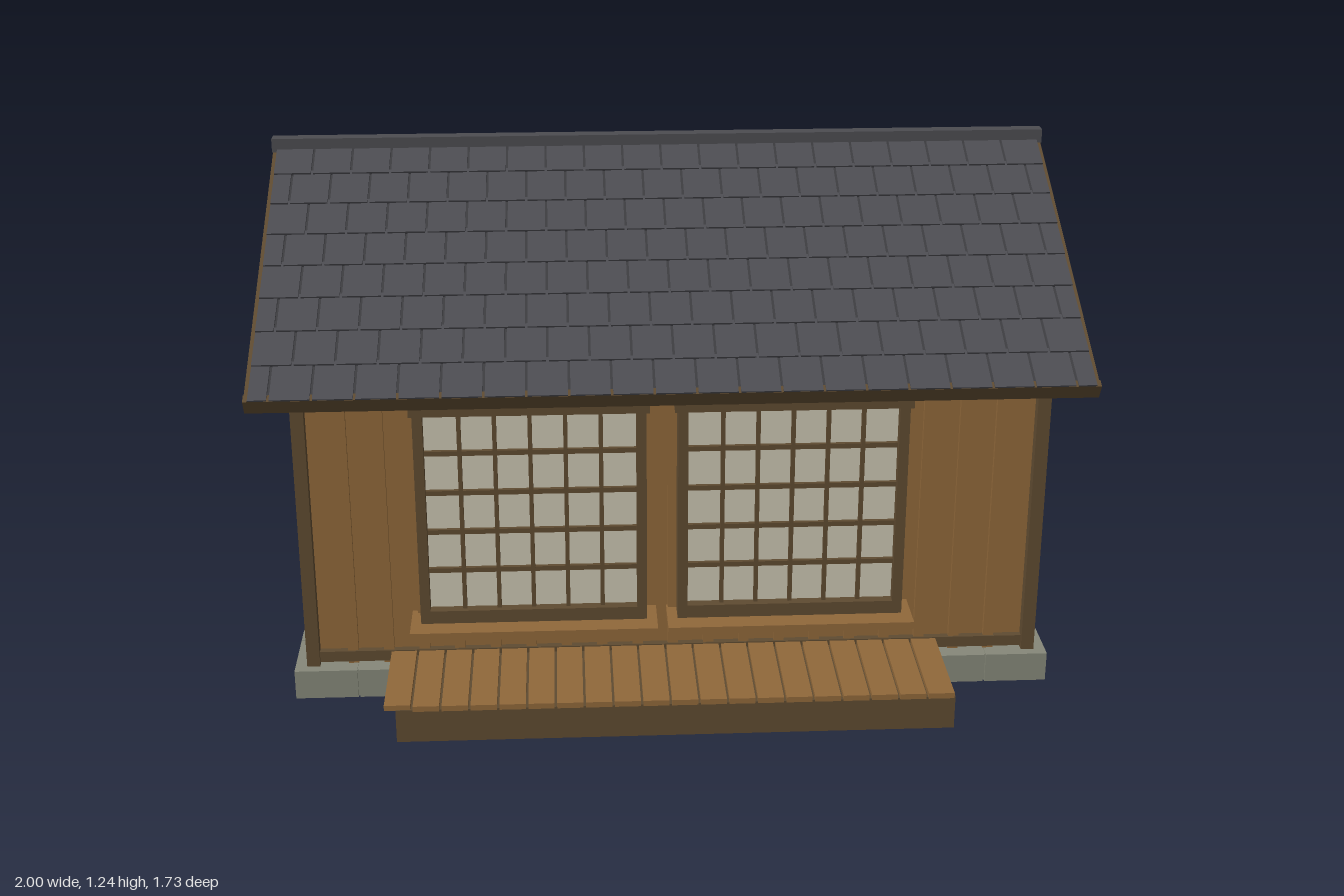
import * as THREE from 'three';
import { mergeGeometries } from 'three/addons/utils/BufferGeometryUtils.js';

const mat = (name, color) => {
  const m = new THREE.MeshStandardMaterial({ color });
  m.name = name;
  return m;
};

// Box given by its min and max corners.
const span = (x0, x1, y0, y1, z0, z1) =>
  new THREE.BoxGeometry(x1 - x0, y1 - y0, z1 - z0).translate((x0 + x1) / 2, (y0 + y1) / 2, (z0 + z1) / 2);

const part = (name, material, geos) => {
  const mesh = new THREE.Mesh(geos.length > 1 ? mergeGeometries(geos) : geos[0], material);
  mesh.name = name;
  return mesh;
};

const WX = 0.88, ZC = -0.08, WZ = 0.66;          // half width, wall centre in z, half depth
const BASE = 0.075, APEX = 1.185, SLOPE = 0.514; // wall foot, gable top, roof pitch

export function createModel() {
  const wood = mat('planking', 0x90683a);
  const trim = mat('darkTrim', 0x5f4b31);
  const roofing = mat('shingle', 0x4c4c51);
  const underlay = mat('roofUnderlay', 0x3c3c40);
  const glass = mat('pane', 0xcbc5b2);
  const stone = mat('concrete', 0x868879);
  const metal = mat('pipeMetal', 0x30343c);
  const house = new THREE.Group();
  house.name = 'cabin';

  // Foundation: solid core faced with a row of blocks
  const blocks = [span(-0.928, 0.928, 0, 0.073, -0.793, 0.623)];
  const bw = 1.87 / 12, bd = 1.43 / 9;
  for (let i = 0; i < 12; i++) {
    const x = -0.935 + i * bw;
    for (const z of [-0.8, 0.57]) blocks.push(span(x + 0.002, x + bw - 0.002, 0, BASE, z, z + 0.06));
  }
  for (let i = 0; i < 9; i++) {
    const z = -0.8 + i * bd;
    for (const x of [-0.935, 0.875]) blocks.push(span(x, x + 0.06, 0, BASE, z + 0.001, z + bd - 0.001));
  }
  house.add(part('foundation', stone, blocks));

  // Wall core with gables
  const eave = APEX - WZ * SLOPE;
  const profile = new THREE.Shape([[-WZ, BASE], [WZ, BASE], [WZ, eave], [0, APEX], [-WZ, eave]]
    .map(([a, b]) => new THREE.Vector2(a, b)));
  const core = new THREE.ExtrudeGeometry(profile, { depth: 2 * WX, bevelEnabled: false })
    .translate(0, 0, -WX).rotateY(Math.PI / 2).translate(0, 0, ZC);
  house.add(part('walls', wood, [core]));

  // Upright battens on all four walls
  const battens = [];
  for (let i = 1; i < 20; i++) {
    const x = -WX + i * 2 * WX / 20;
    for (const s of [-1, 1]) {
      const z = ZC + s * WZ;
      battens.push(span(x - 0.013, x + 0.013, BASE, 0.8, z - 0.012, z + 0.012));
    }
  }
  for (let i = 1; i < 16; i++) {
    const z = ZC - WZ + i * 2 * WZ / 16;
    for (const s of [-1, 1])
      battens.push(span(s * WX - 0.012, s * WX + 0.012, BASE, 0.825, z - 0.013, z + 0.013));
  }
  house.add(part('wallBattens', wood, battens));

  // Lapped boards on the gables
  const laps = [];
  for (let y = 0.82; y < 1.14; y += 0.05) {
    const half = (APEX - y - 0.046) / SLOPE;
    for (const s of [-1, 1])
      laps.push(new THREE.BoxGeometry(0.014, 0.048, 2 * half).rotateZ(s * 0.16).translate(s * (WX + 0.006), y + 0.024, ZC));
  }
  house.add(part('gableBoards', wood, laps));

  // Corner boards, foot rails and top rails
  const corners = [], rails = [], topRails = [];
  for (const s of [-1, 1]) {
    for (const x of [-0.89, 0.89]) {
      const z = ZC + s * 0.67;
      corners.push(span(x - 0.016, x + 0.016, BASE, 0.825, z - 0.016, z + 0.016));
    }
    const z = ZC + s * WZ;
    rails.push(span(-0.88, 0.88, 0.082, 0.11, z - 0.017, z + 0.017));
    topRails.push(span(-0.88, 0.88, 0.78, 0.815, z - 0.017, z + 0.017));
  }
  house.add(part('cornerBoards', trim, corners), part('footRails', trim, rails), part('topRails', metal, topRails));

  // Windows, built facing +z with the wall at z = 0
  const makeWindow = (name, w, y0, y1, cols, rows) => {
    const g = new THREE.Group(), h = w / 2, f = 0.024;
    g.name = name;
    g.add(part('panes', glass, [span(-h + 0.01, h - 0.01, y0 + 0.01, y1 - 0.01, 0, 0.05)]));
    const bars = [
      span(-h, -h + f, y0, y1, 0, 0.075), span(h - f, h, y0, y1, 0, 0.075),
      span(-h, h, y0, y0 + f, 0, 0.075), span(-h - 0.008, h + 0.008, y1 - f, y1, 0, 0.08)];
    for (let i = 1; i < cols; i++) {
      const x = -h + f + i * (w - 2 * f) / cols;
      bars.push(span(x - 0.005, x + 0.005, y0, y1, 0.04, 0.062));
    }
    for (let i = 1; i < rows; i++) {
      const y = y0 + f + i * (y1 - y0 - 2 * f) / rows;
      bars.push(span(-h, h, y - 0.006, y + 0.006, 0.04, 0.06));
    }
    g.add(part('windowFrame', trim, bars));
    g.add(part('windowSill', wood, [span(-h - 0.025, h + 0.025, y0 - 0.03, y0 - 0.012, 0, 0.12)]));
    g.add(part('sillSupport', trim, [span(-h, h, y0 - 0.012, y0, 0, 0.07)]));
    house.add(g);
    return g;
  };
  makeWindow('frontWindowRight', 0.55, 0.222, 0.782, 6, 5).position.set(-0.342, 0, ZC + WZ);
  makeWindow('frontWindowLeft', 0.55, 0.222, 0.782, 6, 5).position.set(0.283, 0, ZC + WZ);
  const side = makeWindow('sideWindow', 0.42, 0.335, 0.663, 5, 3);
  side.position.set(WX, 0, ZC);
  side.rotation.y = Math.PI / 2;

  // Porch: dark base with planks laid front to back
  house.add(part('porchBase', trim, [span(-0.67, 0.66, 0.012, 0.097, 0.6, 0.865)]));
  const planks = [], pw = 1.36 / 20;
  for (let i = 0; i < 20; i++) {
    const x = -0.7 + i * pw;
    planks.push(span(x + 0.003, x + pw - 0.003, 0.095, 0.109, 0.6, i ? 0.869 : 0.862));
  }
  house.add(part('porchPlanks', wood, planks));

  // Roof slopes: local +z runs down the slope, y = 0 is the outer surface
  const L = 0.87, ROWS = 8, COLS = 20, step = L / ROWS;
  for (const s of [1, -1]) {
    const turn = new THREE.Group(), slope = new THREE.Group();
    turn.name = s > 0 ? 'frontRoof' : 'backRoof';
    turn.position.set(0, 1.225, ZC);
    turn.rotation.y = s > 0 ? 0 : Math.PI;
    slope.rotation.x = Math.atan(SLOPE);
    slope.add(part('roofDeck', underlay, [span(-0.985, 0.985, -0.03, -0.01, 0, L)]));
    const tiles = [];
    for (let r = 0; r < ROWS; r++) {
      for (let c = 0; c <= COLS; c++) {
        const x0 = -0.99 + (c - (r % 2) / 2) * 0.099;
        const a = Math.max(x0, -0.99) + 0.003, b = Math.min(x0 + 0.099, 0.99) - 0.003;
        if (b - a < 0.02) continue;
        tiles.push(new THREE.BoxGeometry(b - a, 0.007, step + 0.015).rotateX(-0.04)
          .translate((a + b) / 2, -0.005, (r + 0.5) * step));
      }
    }
    slope.add(part('shingles', roofing, tiles));
    slope.add(part('bargeBoards', trim, [-0.987, 0.987].map(x => span(x - 0.011, x + 0.011, -0.045, -0.012, 0, L))));
    slope.add(part('fascia', trim, [span(-0.998, 0.998, -0.043, -0.003, L - 0.012, L + 0.008)]));
    turn.add(slope);
    house.add(turn);
  }
  house.add(part('ridgeCap', roofing, [span(-1, 1, 1.205, 1.24, ZC - 0.018, ZC + 0.018)]));

  // Drainpipes with collars at the back corners
  const pipes = [];
  for (const x of [-0.89, 0.89]) {
    pipes.push(new THREE.CylinderGeometry(0.01, 0.01, 0.73, 12).translate(x, 0.43, -0.79));
    for (const y of [0.1, 0.375, 0.78])
      pipes.push(new THREE.CylinderGeometry(0.013, 0.013, 0.014, 12).translate(x, y, -0.79));
  }
  house.add(part('drainpipes', metal, pipes));
  return house;
}
